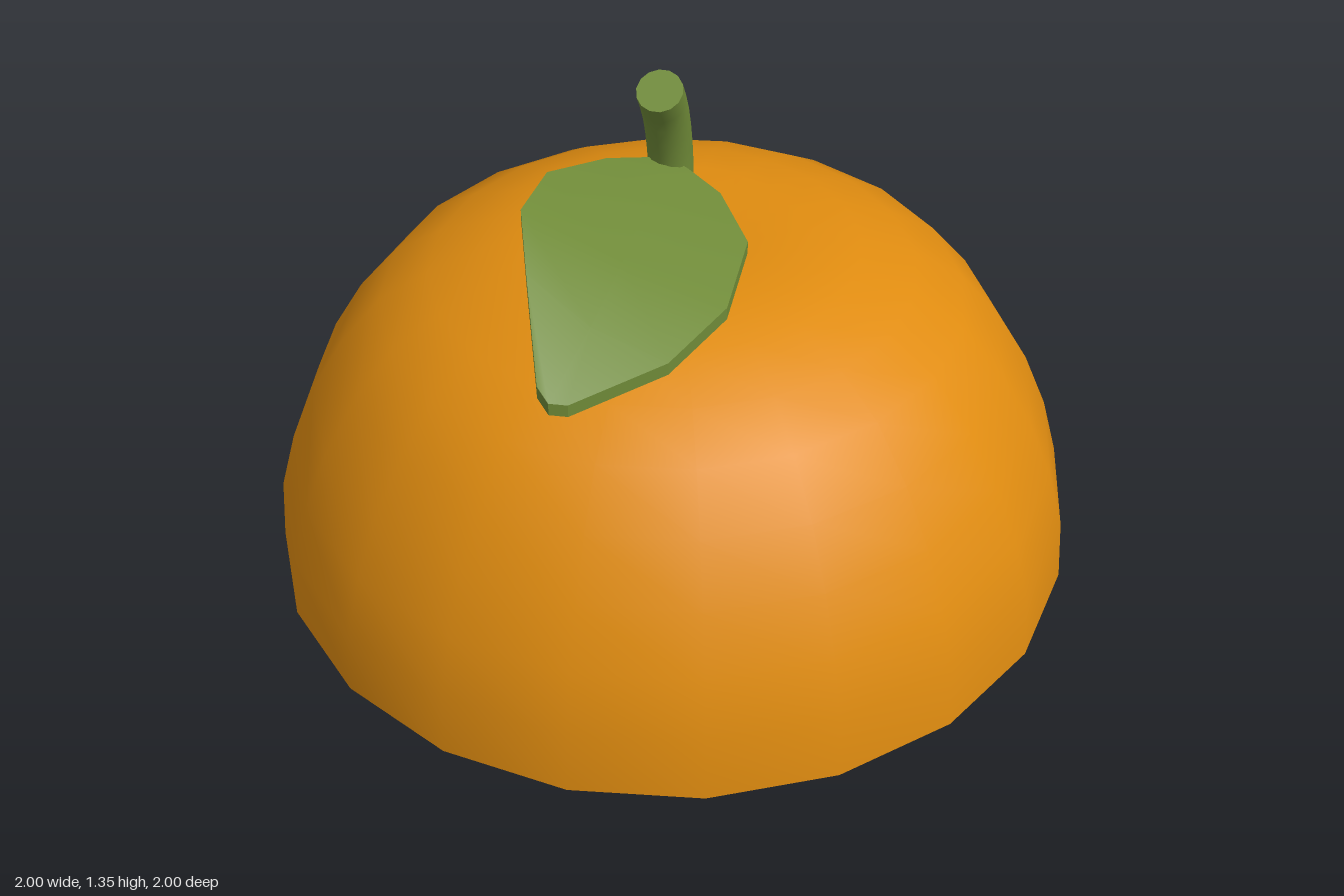
import * as THREE from 'three';

const mat = (name, color, side = THREE.FrontSide) => {
  const m = new THREE.MeshStandardMaterial({ color, side });
  m.name = name;
  return m;
};

// Flat outline of [x, z] points, facing down
function underside(points) {
  const shape = new THREE.Shape(points.map(([x, z]) => new THREE.Vector2(x, z)));
  return new THREE.ShapeGeometry(shape).rotateX(Math.PI / 2);
}

// Thick leaf from rows of [left, middle, right] points running toward the tip
function leafGeometry(rows, thickness) {
  const pos = [], index = [];
  const add = ([x, y, z], drop) => pos.push(x, y - drop, z) / 3 - 1;
  const n = rows.length;
  for (const drop of [0, thickness]) {
    const ids = rows.map(row => row.map(p => add(p, drop)));
    for (let r = 0; r < n - 1; r++) {
      for (let c = 0; c < 2; c++) {
        const a = ids[r][c], b = ids[r + 1][c], d = ids[r + 1][c + 1], e = ids[r][c + 1];
        if (drop) index.push(a, d, b, a, e, d);
        else index.push(a, b, d, a, d, e);
      }
    }
  }
  // Rim, with its own vertices so the edge stays sharp
  const rim = [...rows.map(r => r[0]), rows[n - 1][1],
    ...rows.map(r => r[2]).reverse(), rows[0][1]];
  rim.forEach((p, i) => {
    const q = rim[(i + 1) % rim.length];
    const a = add(p, 0), b = add(p, thickness), c = add(q, thickness), d = add(q, 0);
    index.push(a, b, c, a, c, d);
  });
  const g = new THREE.BufferGeometry();
  g.setAttribute('position', new THREE.Float32BufferAttribute(pos, 3));
  g.setIndex(index);
  g.computeVertexNormals();
  return g;
}

export function createModel() {
  const group = new THREE.Group();
  const peel = mat('orange peel', 0xe08c10);
  const pith = mat('yellow pith', 0xdcb644);
  const flesh = mat('orange flesh', 0xe08c12);
  const core = mat('pale core', 0xe2c07c);
  const green = mat('leaf green', 0x6f8a38);

  const add = (name, geometry, material, y = 0) => {
    const mesh = new THREE.Mesh(geometry, material);
    mesh.name = name;
    mesh.position.y = y;
    group.add(mesh);
    return mesh;
  };

  // Half fruit with a shallow dip at the top
  const profile = [[1, 0], [0.99, 0.16], [0.95, 0.31], [0.89, 0.455], [0.81, 0.59],
    [0.71, 0.71], [0.59, 0.785], [0.455, 0.84], [0.31, 0.87], [0.16, 0.86], [0, 0.85]]
    .map(([r, y]) => new THREE.Vector2(r, y));
  add('peel', new THREE.LatheGeometry(profile, 20), peel);

  // Cut face: pith, uneven flesh and star-like core
  add('pith', new THREE.CircleGeometry(1, 20).rotateX(Math.PI / 2), pith, 0.006);
  const fleshOutline = [];
  for (let i = 0; i < 80; i++) {
    const a = i / 80 * Math.PI * 2;
    const r = 0.915 + 0.009 * Math.sin(i * 2.3) + 0.007 * Math.sin(i * 0.9);
    fleshOutline.push([r * Math.cos(a), r * Math.sin(a)]);
  }
  add('flesh', underside(fleshOutline), flesh, 0.003);

  // Small outlines are drawn on axes turned 45 degrees to the cut face
  const turned = pts => pts.map(([u, v]) => [(v - u) * 0.707, (-u - v) * 0.707]);
  add('core', underside(turned([[-0.22, -0.08], [-0.21, 0.04], [-0.14, 0.1], [-0.15, 0.26],
    [-0.05, 0.24], [0.03, 0.13], [0.08, 0.1], [0.1, 0.03], [0.22, -0.04], [0.15, -0.1],
    [0.18, -0.23], [0.09, -0.18], [0.03, -0.26], [-0.05, -0.2], [-0.13, -0.26],
    [-0.17, -0.13]])), core);
  add('pithWedge', underside(turned([[0.03, 0.13], [0.08, 0.1], [0.19, 0.34], [0.17, 0.18],
    [0.13, 0.07], [0.1, 0.03], [0.04, 0.04]])), pith, -0.0);

  // Curved stem with a cut end
  const path = new THREE.CatmullRomCurve3([[0.8, 0], [1, 0.01], [1.13, 0.028],
    [1.24, 0.068], [1.32, 0.122]].map(([y, z]) => new THREE.Vector3(0, y, z)));
  add('stem', new THREE.TubeGeometry(path, 10, 0.054, 14), green);
  const end = add('stemEnd', new THREE.CircleGeometry(0.054, 14), green);
  end.position.copy(path.getPoint(1));
  end.lookAt(end.position.clone().add(path.getTangent(1)));

  // Tilted leaf
  add('leaf', leafGeometry([
    [[-0.05, 1.105, 0.06], [0, 1.1, 0.04], [0.05, 1.09, 0.06]],
    [[-0.13, 1.12, 0.11], [0, 1.1, 0.11], [0.14, 1.065, 0.11]],
    [[-0.23, 1.15, 0.25], [0, 1.095, 0.25], [0.235, 1.035, 0.25]],
    [[-0.23, 1.172, 0.45], [0, 1.075, 0.46], [0.235, 0.995, 0.46]],
    [[-0.165, 1.13, 0.63], [-0.02, 1.03, 0.65], [0.15, 0.965, 0.65]],
    [[-0.1, 0.96, 0.79], [-0.07, 0.935, 0.81], [-0.03, 0.93, 0.8]],
  ], 0.03), green);

  return group;
}
